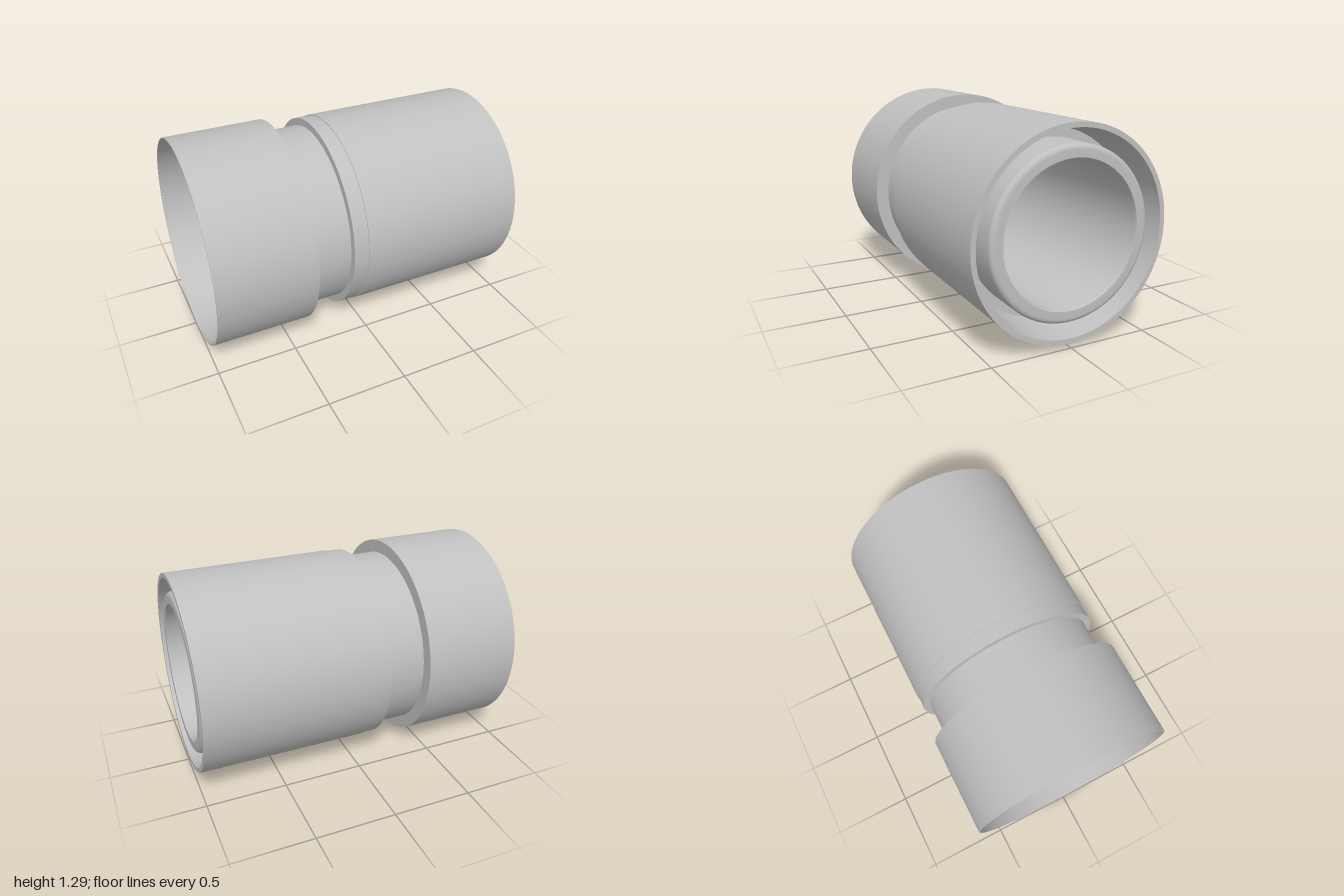
import * as THREE from 'three';
import { toCreasedNormals } from 'three/addons/utils/BufferGeometryUtils.js';

export function createModel() {
  const grey = new THREE.MeshStandardMaterial({ color: 0xc0c0c0, side: THREE.DoubleSide });
  grey.name = 'pale grey';

  const model = new THREE.Group();
  model.name = 'pipeCoupling';
  const axisHeight = 0.647;

  // Turned section: profile given as [position along x, radius]
  function turned(name, profile) {
    const points = profile.map(([x, r]) => new THREE.Vector2(r, x));
    const geometry = toCreasedNormals(new THREE.LatheGeometry(points, 128), 0.45);
    const mesh = new THREE.Mesh(geometry, grey);
    mesh.name = name;
    mesh.rotation.z = -Math.PI / 2;
    mesh.position.y = axisHeight;
    model.add(mesh);
  }

  // Rounded outer shoulder of the inner tube, running from lip to side
  const shoulder = [];
  for (let i = 0; i <= 8; i++) {
    const a = (i / 8) * Math.PI / 2;
    shoulder.push([0.96 + 0.03 * Math.cos(a), 0.473 + 0.03 * Math.sin(a)]);
  }

  // Wide thin-walled socket with its inner and outer end faces
  turned('socket', [
    [-0.46, 0.49], [-0.46, 0.625], [-1, 0.64], [-1, 0.647], [-0.39, 0.647], [-0.39, 0.567],
  ]);

  // Narrow neck between the socket and the sleeve
  turned('neck', [[-0.39, 0.567], [-0.15, 0.567]]);

  // Outer sleeve with a slight step, thin rim and tapered inside
  turned('sleeve', [
    [-0.15, 0.567], [-0.15, 0.613], [-0.055, 0.613], [-0.055, 0.618],
    [1, 0.618], [1, 0.588], [0.72, 0.558],
  ]);

  // Floor of the ring-shaped groove
  turned('grooveFloor', [[0.72, 0.558], [0.72, 0.503]]);

  // Inner tube: tapered bore, chamfered lip, rounded shoulder
  turned('innerTube', [
    [0.72, 0.503], ...shoulder.reverse(), [0.99, 0.428], [0.975, 0.422], [-0.46, 0.49],
  ]);

  return model;
}
